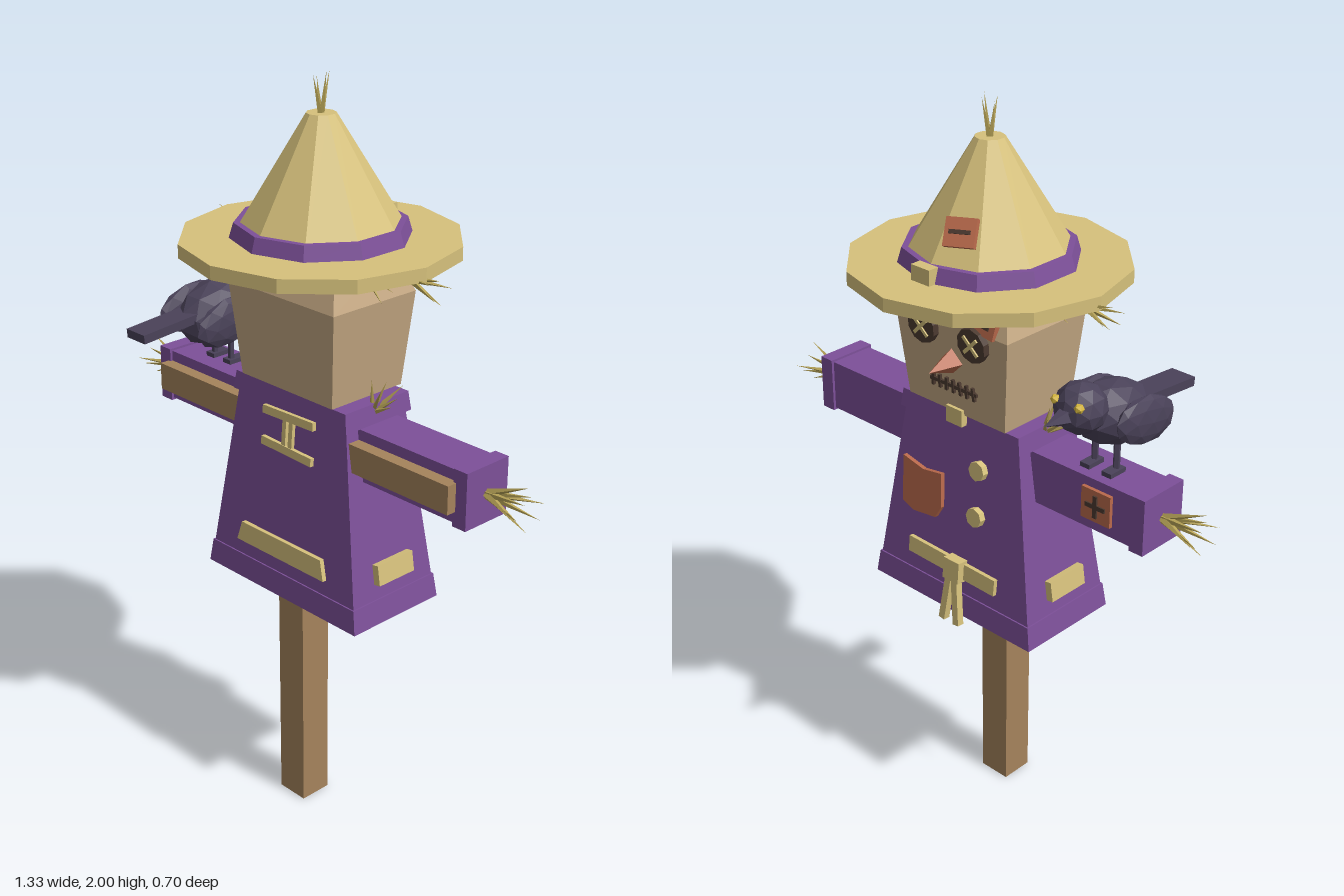
import * as THREE from 'three';

const flat = (name, color) => new THREE.MeshStandardMaterial({ name, color, flatShading: true });

export function createModel() {
  const purple = flat('purple cloth', 0x7d5099);
  const straw = flat('pale straw', 0xd6c17c);
  const tuft = flat('dry straw', 0xb9a558);
  const sack = flat('sackcloth', 0xc2a681);
  const wood = flat('wood', 0xa5835c);
  const rust = flat('rust patch', 0xba6a4c);
  const dark = flat('dark brown', 0x4c3a30);
  const black = flat('crow feathers', 0x4a4259);
  const gold = flat('crow eye', 0xd8b940);

  const model = new THREE.Group();
  model.name = 'scarecrow';
  const body = new THREE.Group();
  body.name = 'scarecrowBody';
  body.rotation.y = THREE.MathUtils.degToRad(158);
  model.add(body);

  const add = (parent, name, geo, mat, pos = [0, 0, 0], rot = [0, 0, 0]) => {
    const m = new THREE.Mesh(geo, mat);
    m.name = name;
    m.position.set(...pos);
    m.rotation.set(...rot, 'YXZ');
    parent.add(m);
    return m;
  };
  const box = (w, h, d) => new THREE.BoxGeometry(w, h, d);
  const group = (parent, name, pos = [0, 0, 0], rot = [0, 0, 0]) => {
    const g = new THREE.Group();
    g.name = name;
    g.position.set(...pos);
    g.rotation.set(...rot, 'YXZ');
    parent.add(g);
    return g;
  };
  // Four-sided block with its own width and depth at each end
  const frustum = (y0, w0, d0, y1, w1, d1) => {
    const g = box(1, 1, 1), p = g.attributes.position;
    for (let i = 0; i < p.count; i++) {
      const top = p.getY(i) > 0;
      p.setXYZ(i, p.getX(i) * (top ? w1 : w0), top ? y1 : y0, p.getZ(i) * (top ? d1 : d0));
    }
    return g;
  };
  // Bundle of thin straws fanned around a direction
  const fan = (name, base, dir, n, len, spread, r = 0.009) => {
    const g = group(body, name, base);
    g.quaternion.setFromUnitVectors(new THREE.Vector3(0, 1, 0), new THREE.Vector3(...dir).normalize());
    for (let i = 0; i < n; i++) {
      const l = len * (0.82 + 0.18 * Math.abs(Math.sin(i * 2.3 + 1)));
      const a = (i / n) * Math.PI * 2, tilt = spread * (i % 2 ? 0.65 : 1);
      add(g, 'straw', new THREE.ConeGeometry(r, l, 4).translate(0, l / 2, 0), tuft, [0, 0, 0], [tilt, a, 0]);
    }
  };

  // Post and crossbar
  add(body, 'post', box(0.092, 1.0, 0.092), wood, [0, 0.5, -0.065]);
  add(body, 'crossbar', box(1.065, 0.075, 0.09), wood, [0, 1.098, -0.055]);

  // Robe
  const halfW = y => 0.2775 - 0.152 * (y - 0.645);
  const halfD = y => 0.1475 - 0.0833 * (y - 0.645);
  const robePart = (name, y0, y1, grow) => add(body, name,
    frustum(y0, 2 * halfW(y0) + grow, 2 * halfD(y0) + grow, y1, 2 * halfW(y1) + grow, 2 * halfD(y1) + grow), purple);
  robePart('robe', 0.66, 1.2, 0);
  robePart('hem', 0.645, 0.71, 0.008);
  robePart('collar', 1.165, 1.215, 0.02);
  add(body, 'neck', box(0.14, 0.08, 0.12), tuft, [0, 1.21, 0]);

  // Groups lying on the sloping robe faces
  const onFront = (name, x, y) => group(body, name, [x, y, halfD(y)], [-0.083, 0, 0]);
  const onBack = (name, y) => group(body, name, [0, y, -halfD(y)], [-0.083, Math.PI, 0]);

  const robePatch = onFront('robePatch', -0.115, 0.96);
  const patchShape = new THREE.Shape([[-0.07, -0.06], [-0.03, -0.075], [0.05, -0.065], [0.07, -0.03],
    [0.065, 0.065], [0, 0.055], [-0.075, 0.07]].map(p => new THREE.Vector2(...p)));
  add(robePatch, 'patch', new THREE.ExtrudeGeometry(patchShape, { depth: 0.012, bevelEnabled: false }), rust);
  for (const y of [1.08, 0.95]) {
    const b = onFront('button', 0.075, y);
    add(b, 'button', new THREE.CylinderGeometry(0.026, 0.026, 0.02, 8), straw, [0, 0, 0.008], [Math.PI / 2, 0, 0]);
  }
  add(body, 'collarClasp', box(0.055, 0.045, 0.03), straw, [0, 1.212, 0.115]);

  // Rope belt with knot, in front and behind
  const belt = onFront('belt', 0, 0.78);
  add(belt, 'ropeFront', box(0.31, 0.045, 0.02), straw, [0, 0, 0.002], [0, 0, -0.02]);
  add(belt, 'knot', box(0.055, 0.06, 0.04), straw, [0.02, 0, 0.012]);
  for (const s of [-1, 1])
    add(belt, 'ropeEnd', box(0.02, 0.15, 0.02), straw, [0.02 + s * 0.017, -0.08, 0.02], [0, 0, s * 0.12]);
  const backBelt = onBack('backBelt', 0.78);
  add(backBelt, 'ropeBack', frustum(-0.027, 0.33, 0.026, 0.027, 0.3, 0.026), straw);
  for (const s of [-1, 1]) {
    const side = group(body, 'sideBelt', [s * halfW(0.778), 0.778, 0], [-0.15, s * Math.PI / 2, 0]);
    add(side, 'ropeSide', box(0.125, 0.055, 0.04), straw);
  }

  // Back lacing
  const lacing = onBack('backLacing', 1.1);
  for (const s of [-1, 1])
    add(lacing, 'lace', box(0.185, 0.022, 0.024), straw, [0, s * 0.045, 0], [0, 0, s * 0.03]);
  for (const s of [-1, 1])
    add(lacing, 'laceLink', box(0.014, 0.09, 0.02), straw, [s * 0.012, 0, 0]);

  // Sleeves, cuffs, straw hands and tufts, mirrored
  for (const s of [-1, 1]) {
    add(body, 'sleeve', box(0.42, 0.138, 0.13), purple, [s * 0.33, 1.095, 0]);
    add(body, 'cuff', box(0.042, 0.15, 0.145), purple, [s * 0.545, 1.095, 0]);
    fan('strawHand', [s * 0.56, 1.095, 0], [s, 0, 0], 8, 0.15, 0.42, 0.011);
    fan('shoulderStraw', [s * 0.185, 1.185, 0], [s * 0.6, 0.8, 0], 6, 0.11, 0.5);
    fan('hairStraw', [s * 0.15, 1.54, 0], [s, -0.12, 0], 6, 0.11, 0.5);
    fan('brimStraw', [s * 0.3, 1.56, 0], [s, -0.1, 0], 5, 0.11, 0.4);
  }

  // Sleeve patch with cross stitch
  const armPatch = group(body, 'armPatch', [0.42, 1.098, 0.068]);
  add(armPatch, 'patch', box(0.09, 0.085, 0.014), rust);
  add(armPatch, 'stitch', box(0.06, 0.012, 0.006), dark, [0, 0, 0.008]);
  add(armPatch, 'stitch', box(0.012, 0.06, 0.006), dark, [0, 0, 0.0085]);

  // Head
  const head = group(body, 'head');
  add(head, 'lowerHead', frustum(1.22, 0.33, 0.24, 1.47, 0.38, 0.28), sack);
  add(head, 'upperHead', frustum(1.47, 0.38, 0.28, 1.57, 0.29, 0.19), sack);
  const onFace = (name, x, y) => group(head, name, [x, y, 0.12 + 0.08 * (y - 1.22)], [0.08, 0, 0]);
  for (const s of [-1, 1]) {
    const eye = onFace('eye', s * 0.085, 1.44);
    add(eye, 'eyeButton', new THREE.CylinderGeometry(0.046, 0.046, 0.02, 10), dark, [0, 0, 0.008], [Math.PI / 2, 0, 0]);
    for (const r of [-1, 1])
      add(eye, 'eyeStitch', box(0.062, 0.009, 0.006), straw, [0, 0, 0.019], [0, 0, r * Math.PI / 4]);
  }
  const nose = onFace('nose', 0, 1.365);
  add(nose, 'nose', new THREE.ConeGeometry(0.036, 0.085, 4), rust, [0, 0, 0.038], [Math.PI / 2, 0, 0]);
  const mouth = onFace('mouth', 0, 1.295);
  add(mouth, 'mouthLine', box(0.16, 0.01, 0.008), dark, [0, 0, 0.002]);
  for (let i = -3; i <= 3; i++)
    add(mouth, 'mouthStitch', box(0.008, 0.036, 0.009), dark, [i * 0.023, 0, 0.003], [0, 0, (i % 2) * 0.12]);
  const brow = group(head, 'foreheadPatch', [0.115, 1.515, 0.132], [-0.2, 0, -0.12]);
  add(brow, 'patch', box(0.08, 0.09, 0.016), rust);
  add(brow, 'stitch', box(0.045, 0.01, 0.006), dark, [0, -0.02, 0.009]);

  // Hat
  const hat = group(body, 'hat');
  const tube = (r0, r1, y0, y1, n) => new THREE.CylinderGeometry(r1, r0, y1 - y0, n).translate(0, (y0 + y1) / 2, 0);
  add(hat, 'brim', tube(0.354, 0.354, 1.565, 1.6, 12), straw);
  add(hat, 'crown', tube(0.222, 0.037, 1.6, 1.9, 10), straw);
  add(hat, 'hatBand', tube(0.227, 0.215, 1.598, 1.638, 10), purple);
  add(hat, 'buckle', box(0.06, 0.04, 0.03), straw, [0, 1.62, 0.22]);
  const hatFace = group(hat, 'hatPatchFace', [0, 0, 0], [0, Math.PI / 10, 0]);
  const hatPatch = group(hatFace, 'hatPatch', [0, 1.71, 0.149], [-0.54, 0, 0]);
  add(hatPatch, 'patch', box(0.08, 0.07, 0.02), rust, [0, 0, 0.003], [0, 0, 0.08]);
  add(hatPatch, 'stitch', box(0.055, 0.01, 0.006), dark, [0, 0, 0.014], [0, 0, 0.08]);
  fan('hatTopStraw', [0, 1.885, 0], [0, 1, 0], 4, 0.118, 0.24);

  // Crow perched on the sleeve
  const crow = group(body, 'crow', [0.385, 0, 0]);
  const blob = (r, detail, sx, sy, sz) => new THREE.IcosahedronGeometry(r, detail).scale(sx, sy, sz);
  add(crow, 'crowBody', blob(0.085, 1, 0.95, 1, 1.45), black, [0, 1.31, -0.02], [-0.25, 0, 0]);
  add(crow, 'crowHead', blob(0.066, 1, 1, 1, 1), black, [0, 1.362, 0.098]);
  add(crow, 'beak', new THREE.ConeGeometry(0.028, 0.085, 5), black, [0, 1.358, 0.183], [Math.PI / 2, 0, 0]);
  add(crow, 'tail', box(0.072, 0.024, 0.19), black, [0, 1.31, -0.195], [-0.08, 0, 0]);
  for (const s of [-1, 1]) {
    add(crow, 'wing', blob(0.08, 1, 0.32, 0.8, 1.35), black, [s * 0.08, 1.305, -0.045], [-0.2, 0, 0]);
    add(crow, 'crowEye', blob(0.013, 0, 1, 1, 1), gold, [s * 0.036, 1.388, 0.146]);
    add(crow, 'leg', new THREE.CylinderGeometry(0.009, 0.009, 0.09, 5), black, [s * 0.034, 1.205, 0]);
    add(crow, 'foot', box(0.03, 0.012, 0.055), black, [s * 0.034, 1.17, 0.01]);
  }
  return model;
}
